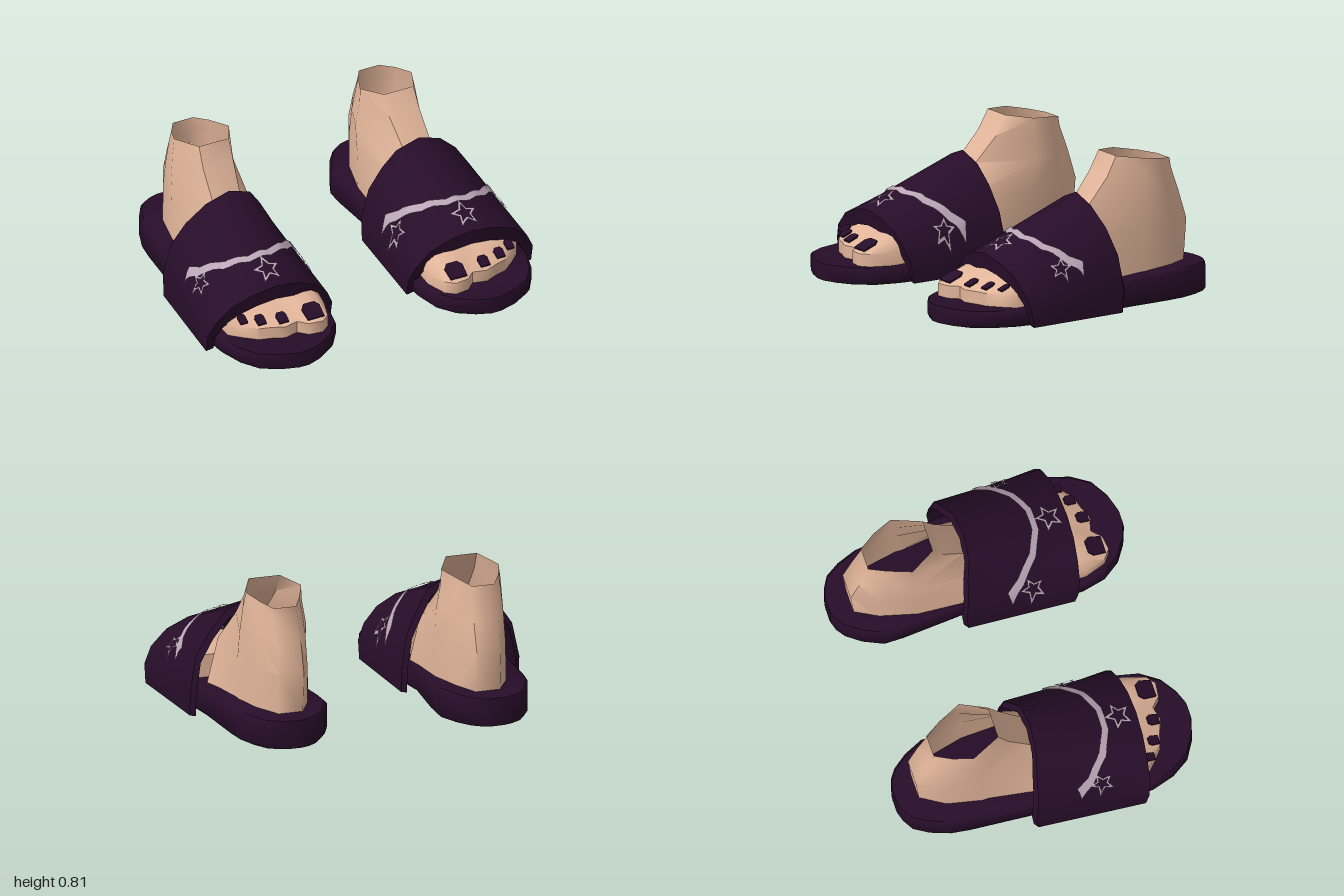
import * as THREE from 'three';
import { toCreasedNormals } from 'three/addons/utils/BufferGeometryUtils.js';

const mat = (name, color, side = THREE.FrontSide) => {
  const m = new THREE.MeshStandardMaterial({ color, side });
  m.name = name;
  return m;
};
const lerp = THREE.MathUtils.lerp;

// Piecewise-linear lookup in a list of [key, value] sorted by key
function lookup(table, k) {
  let i = 1;
  while (i < table.length - 1 && table[i][0] < k) i++;
  const [a, b] = [table[i - 1], table[i]];
  return lerp(a[1], b[1], THREE.MathUtils.clamp((k - a[0]) / (b[0] - a[0]), 0, 1));
}

// Skin a row of cross-sections; the winding is turned so faces point outward
function loft(sections, side, { closed = true, caps = true, crease = 0.8 } = {}) {
  const n = sections[0].length, pts = sections.flat().map(p => new THREE.Vector3(p[0] * side, p[1], p[2]));
  const tris = [];
  for (let s = 0; s < sections.length - 1; s++) {
    for (let i = 0; i < (closed ? n : n - 1); i++) {
      const a = s * n + i, b = s * n + (i + 1) % n;
      tris.push([a, b, b + n], [a, b + n, a + n]);
    }
  }
  if (caps && closed) {
    const e = (sections.length - 1) * n;
    for (let i = 1; i < n - 1; i++) tris.push([0, i + 1, i], [e, e + i, e + i + 1]);
  }
  const mid = pts.reduce((m, p) => m.add(p), new THREE.Vector3()).divideScalar(pts.length);
  let volume = 0;
  for (const t of tris) {
    const [a, b, c] = t.map(i => pts[i].clone().sub(mid));
    volume += a.dot(b.cross(c));
  }
  const geo = new THREE.BufferGeometry().setFromPoints(pts);
  geo.setIndex(tris.flatMap(([a, b, c]) => (volume < 0 ? [a, c, b] : [a, b, c])));
  return toCreasedNormals(geo, crease);
}

// Sole: [z, inner x, outer x] and the height of the footbed
const SOLE = [[-0.85, 0.53, 0.64], [-0.835, 0.48, 0.69], [-0.8, 0.43, 0.75], [-0.72, 0.37, 0.8],
  [-0.61, 0.32, 0.84], [-0.5, 0.32, 0.855], [-0.16, 0.345, 0.88], [0.1, 0.3, 0.92], [0.35, 0.265, 0.96],
  [0.52, 0.27, 0.945], [0.65, 0.3, 0.905], [0.75, 0.37, 0.84], [0.81, 0.46, 0.74], [0.84, 0.54, 0.64]];
const BED = [[-0.85, 0.165], [-0.6, 0.175], [-0.16, 0.155], [0.42, 0.1], [0.84, 0.1]];
const soleSections = SOLE.map(([z, l, r]) => {
  const t = lookup(BED, z), b = 0.005;
  return [[l + 0.02, b], [l, b + 0.02], [l, t - 0.015], [l + 0.015, t],
    [r - 0.015, t], [r, t - 0.015], [r, b + 0.02], [r - 0.02, b]].map(([x, y]) => [x, y, z]);
});

// Strap: front and back arches, running from the outer to the inner side
const FRONT = [[1, 0.005, 0.46], [1, 0.11, 0.48], [0.955, 0.2, 0.5], [0.86, 0.285, 0.515], [0.73, 0.335, 0.53],
  [0.6, 0.355, 0.535], [0.47, 0.335, 0.53], [0.355, 0.28, 0.515], [0.275, 0.195, 0.5], [0.235, 0.11, 0.48], [0.235, 0.005, 0.46]];
const BACK = [[0.95, 0.005, -0.14], [0.95, 0.14, -0.15], [0.915, 0.33, -0.13], [0.83, 0.46, -0.11], [0.72, 0.57, -0.08],
  [0.585, 0.62, -0.07], [0.45, 0.57, -0.08], [0.375, 0.46, -0.11], [0.305, 0.33, -0.13], [0.27, 0.14, -0.15], [0.27, 0.005, -0.14]];
const mix = (a, b, t) => a.map((v, i) => lerp(v, b[i], t));
const shrink = ([x, y, z], kx, ky, dz) => [0.61 + (x - 0.61) * kx, Math.max(0.005, y * ky), z + dz];
const strapSections = FRONT.map((f, i) => [
  ...[0, 0.25, 0.5, 0.75, 1].map(v => mix(f, BACK[i], v)),
  shrink(BACK[i], 0.92, 0.93, -0.02), shrink(f, 0.87, 0.75, -0.01)]);

// Height of the strap at x, z, and a point lying just above it
function strapY(x, z) {
  let v = 0.5, y = 0;
  for (let k = 0; k < 5; k++) {
    const arch = FRONT.map((f, i) => mix(f, BACK[i], v)).slice(1, -1).reverse();
    y = lookup(arch, x);
    const zf = lookup(FRONT.slice(1, -1).reverse().map(p => [p[0], p[2]]), x);
    const zb = lookup(BACK.slice(1, -1).reverse().map(p => [p[0], p[2]]), x);
    v = (zf - z) / (zf - zb);
  }
  return y;
}
function drape([x, z]) {
  const e = 0.01, y = strapY(x, z);
  const nx = -(strapY(x + e, z) - strapY(x - e, z)) / (2 * e), nz = -(strapY(x, z + e) - strapY(x, z - e)) / (2 * e);
  const k = 0.01 / Math.hypot(nx, 1, nz);
  return [x + nx * k, y + k, z + nz * k];
}

// Ribbon across the strap
function bandSections() {
  const path = [[0.285, 0.1], [0.33, 0.175], [0.43, 0.275], [0.55, 0.33], [0.67, 0.33], [0.79, 0.275], [0.89, 0.175], [0.925, 0.1]];
  const out = [];
  for (let i = 0; i < path.length; i++) {
    const a = path[Math.max(0, i - 1)], p = path[i], b = path[Math.min(path.length - 1, i + 1)];
    const l = Math.hypot(b[0] - a[0], b[1] - a[1]), nx = -(b[1] - a[1]) / l * 0.019, nz = (b[0] - a[0]) / l * 0.019;
    out.push([[p[0] - nx, p[1] - nz], [p[0] + nx, p[1] + nz]]);
  }
  const fine = [];
  for (let i = 0; i < out.length - 1; i++) {
    for (let k = 0; k < 5; k++) fine.push([0, 1].map(j => mix(out[i][j], out[i + 1][j], k / 5)));
  }
  fine.push(out[out.length - 1]);
  return fine.map(([a, b]) => [0, 0.5, 1].map(t => drape(mix(a, b, t))));
}

// Hollow five-pointed star lying on the strap
function starSections(cx, cz, rx, rz) {
  const corner = (i, k) => {
    const a = i * Math.PI / 5, r = k * (i % 2 ? 0.45 : 1);
    return [cx + Math.sin(a) * r * rx, cz - Math.cos(a) * r * rz];
  };
  const out = [];
  for (let i = 0; i <= 30; i++) {
    const j = Math.floor(i / 3), t = (i % 3) / 3;
    out.push([1, 0.62].map(k => drape(mix(corner(j, k), corner(j + 1, k), t))));
  }
  return out;
}

// Heel and ankle: rings of [x, z] at a height, open at the top
const ring = (y, pts) => pts.map(([x, z]) => [x, y, z]);
const ankleRings = [
  ring(0.14, [[0.5, -0.725], [0.64, -0.725], [0.72, -0.6], [0.76, -0.4], [0.81, -0.02], [0.36, -0.02], [0.38, -0.4], [0.43, -0.6]]),
  ring(0.4, [[0.5, -0.745], [0.64, -0.745], [0.715, -0.6], [0.765, -0.4], [0.75, -0.03], [0.42, -0.03], [0.375, -0.4], [0.43, -0.6]]),
  ring(0.56, [[0.5, -0.695], [0.64, -0.695], [0.71, -0.58], [0.76, -0.42], [0.67, -0.1], [0.5, -0.1], [0.375, -0.42], [0.435, -0.58]]),
  ring(0.7, [[0.505, -0.645], [0.64, -0.645], [0.7, -0.56], [0.745, -0.43], [0.665, -0.22], [0.48, -0.22], [0.4, -0.42], [0.45, -0.56]]),
  [[0.51, 0.75, -0.64], [0.635, 0.75, -0.64], [0.69, 0.77, -0.55], [0.73, 0.79, -0.44], [0.66, 0.81, -0.28],
    [0.48, 0.81, -0.28], [0.405, 0.79, -0.42], [0.46, 0.77, -0.55]]];

// Toes: one outline drawn back and inward as it rises
const TOES = [[0.33, 0.1], [0.32, 0.55], [0.36, 0.67], [0.41, 0.71], [0.49, 0.7], [0.54, 0.65], [0.62, 0.67],
  [0.69, 0.64], [0.76, 0.62], [0.83, 0.56], [0.89, 0.5], [0.9, 0.1]];
const toeRings = [[0.095, 1, 1], [0.17, 1, 1], [0.215, 0.96, 0.76], [0.26, 0.9, 0.5]].map(([y, kx, kz]) =>
  TOES.map(([x, z]) => [0.61 + (x - 0.61) * kx, y, z < 0.3 ? z : 0.3 + (z - 0.3) * kz]));

// Nails: x, z, half width, half length
const NAILS = [[0.44, 0.64, 0.055, 0.05], [0.62, 0.625, 0.031, 0.034], [0.735, 0.59, 0.028, 0.032], [0.82, 0.54, 0.024, 0.03]];
const nailRings = ([cx, cz, w, l]) => [0, 0.009].map(h =>
  [[-1, -0.5], [-0.6, -1], [0.6, -1], [1, -0.5], [0.9, 0.9], [-0.9, 0.9]].map(([a, b]) =>
    [cx + a * w, 0.2 + h - b * l * 0.45, cz + b * l + h * 0.4]));

export function createModel() {
  const dark = mat('dark plum', 0x270d29);
  const skin = mat('skin', 0xe2b59a, THREE.DoubleSide);
  const trim = mat('pale mauve trim', 0xbaa6b6, THREE.DoubleSide);
  const model = new THREE.Group();
  model.name = 'sandals';
  for (const side of [1, -1]) {
    const foot = new THREE.Group();
    foot.name = side > 0 ? 'leftSandal' : 'rightSandal';
    const add = (name, sections, material, options) => {
      const mesh = new THREE.Mesh(loft(sections, side, options), material);
      mesh.name = name;
      foot.add(mesh);
    };
    add('sole', soleSections, dark);
    add('strap', strapSections, dark);
    add('ankle', ankleRings, skin, { caps: false, crease: 1.1 });
    add('toes', toeRings, skin, { crease: 0.9 });
    NAILS.forEach(n => add('toenail', nailRings(n), dark));
    const flat = { closed: false };
    add('band', bandSections(), trim, flat);
    add('frontStar', starSections(0.607, 0.425, 0.08, 0.085), trim, flat);
    add('outerStar', starSections(0.91, 0.235, 0.044, 0.075), trim, flat);
    add('innerStar', starSections(0.295, 0.235, 0.044, 0.075), trim, flat);
    model.add(foot);
  }
  return model;
}
